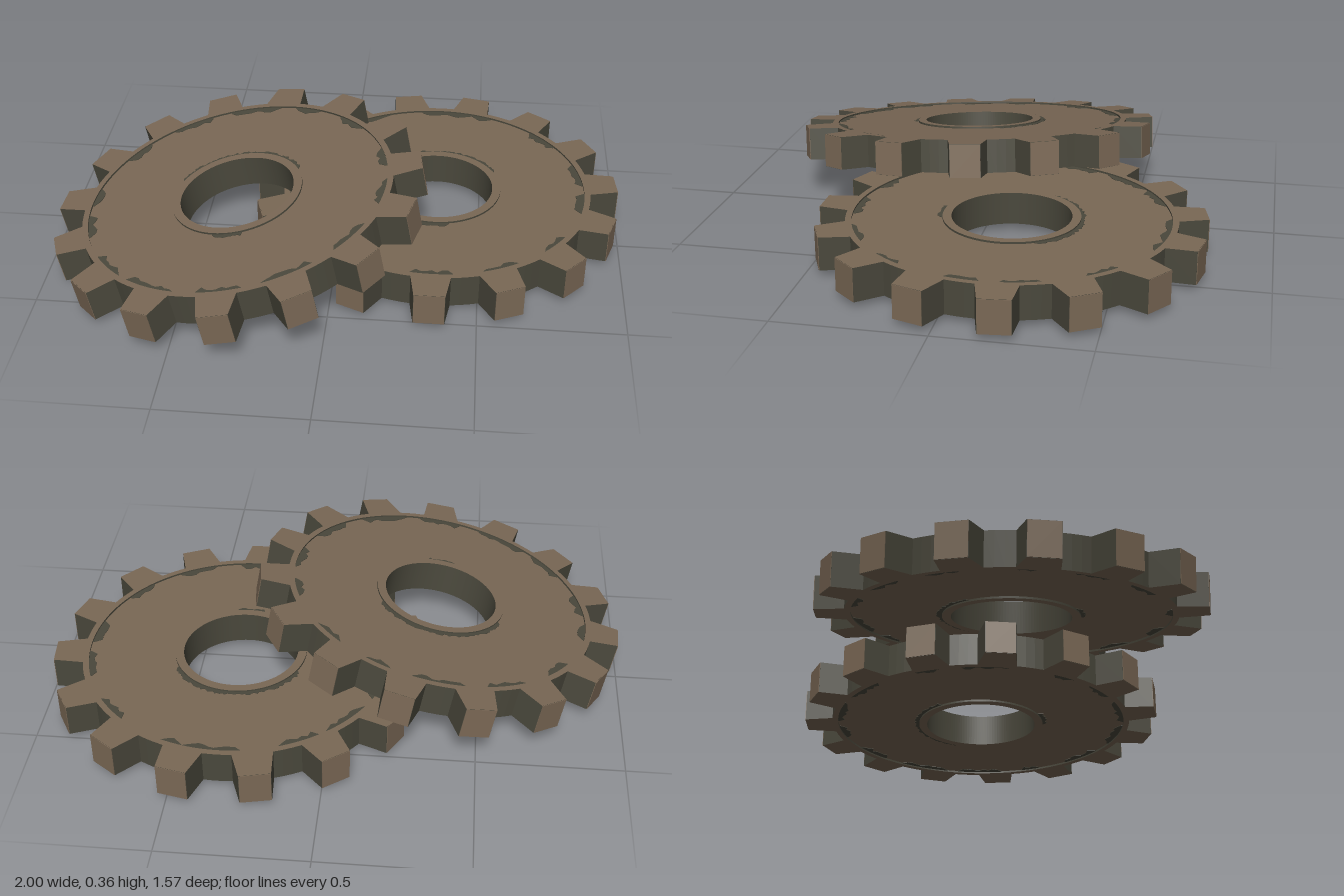
import * as THREE from 'three';

const TEETH = 15, STEP = (Math.PI * 2) / TEETH;
const ROOT = 0.558, TIP = 0.658, HALF = 0.058, FACE = 0.051;
const HOLE = 0.203, HUB = 0.233, RIM = 0.537;

const brown = new THREE.MeshStandardMaterial({ color: 0x7a6855 });
brown.name = 'worn brown';
const olive = new THREE.MeshStandardMaterial({ color: 0x4a483c });
olive.name = 'dark olive';

const polar = (r, a) => new THREE.Vector2(r * Math.cos(a), r * Math.sin(a));

// Extrude a plan shape into a slab lying flat, centred on height y
function slab(name, shape, depth, y, materials) {
  const geo = new THREE.ExtrudeGeometry(shape, { depth, bevelEnabled: false, curveSegments: 64 });
  geo.translate(0, 0, -depth / 2).rotateX(Math.PI / 2).translate(0, y, 0);
  const mesh = new THREE.Mesh(geo, materials);
  mesh.name = name;
  return mesh;
}

function withHole(shape, r) {
  shape.holes.push(new THREE.Path().absarc(0, 0, r, 0, Math.PI * 2, true));
  return shape;
}

function ringShape(inner, outer) {
  return withHole(new THREE.Shape().absarc(0, 0, outer, 0, Math.PI * 2, false), inner);
}

// Outline with tapered teeth; each tooth is centred on phase + k * STEP
function toothedShape(phase) {
  const pts = [];
  const rootAngle = 0.068 / ROOT, tipAngle = 0.053 / TIP;
  for (let k = 0; k < TEETH; k++) {
    const a = phase + k * STEP;
    pts.push(polar(ROOT, a - rootAngle), polar(TIP, a - tipAngle));
    pts.push(polar(TIP, a + tipAngle), polar(ROOT, a + rootAngle));
    for (let i = 1; i < 3; i++) pts.push(polar(ROOT, a + rootAngle + ((STEP - 2 * rootAngle) * i) / 3));
  }
  return withHole(new THREE.Shape(pts), RIM);
}

// Ragged arc of grime hugging one edge of the recessed face
function grimeShape(edge, depth, from, to, rand) {
  const n = Math.max(4, Math.round((to - from) / 0.035));
  const outer = [], ragged = [];
  for (let i = 0; i <= n; i++) {
    const a = from + ((to - from) * i) / n;
    const d = i === 0 || i === n ? 0.15 : 0.45 + 0.55 * rand();
    outer.push(polar(edge, a));
    ragged.unshift(polar(edge + depth * d, a));
  }
  return new THREE.Shape([...outer, ...ragged]);
}

function createGear(name, phase, seed) {
  const gear = new THREE.Group();
  gear.name = name;
  let s = seed;
  const rand = () => (s = (s * 16807) % 2147483647) / 2147483647;

  // Toothed rim, recessed web and raised hub collar
  gear.add(slab('toothedRim', toothedShape(phase), HALF * 2, 0, [brown, olive]));
  gear.add(slab('web', ringShape(HUB - 0.01, RIM + 0.005), FACE * 2, 0, [brown, olive]));
  gear.add(slab('hubCollar', ringShape(HOLE, HUB), HALF * 2, 0, [brown, olive]));

  // Worn plates on the tooth tips
  const r = TIP * Math.cos(0.053 / TIP);
  for (let k = 0; k < TEETH; k++) {
    const a = phase + k * STEP;
    const plate = new THREE.Mesh(new THREE.BoxGeometry(0.004, HALF * 2 - 0.002, 0.104), brown);
    plate.name = 'toothTip';
    plate.position.set(r * Math.cos(a), 0, r * Math.sin(a));
    plate.rotation.y = -a;
    gear.add(plate);
  }

  // Grime patches on both faces, along the rim and around the hub
  for (const side of [1, -1]) {
    const y = side * (FACE + 0.0005);
    for (let k = 0; k < 14; k++) {
      const from = (k + 0.25 * rand()) * (Math.PI / 7);
      const span = 0.14 + 0.24 * rand();
      gear.add(slab('rimGrime', grimeShape(RIM, -0.032, from, from + span, rand), 0.003, y, olive));
    }
    for (const [from, to] of [[-2.7, -0.5], [1.35, 1.8]]) {
      gear.add(slab('hubGrime', grimeShape(HUB, 0.02, from, to, rand), 0.003, y, olive));
    }
  }
  return gear;
}

export function createModel() {
  const model = new THREE.Group();
  model.name = 'gearPair';

  // Gear lying flat
  const flat = createGear('flatGear', Math.PI / 2, 41);
  flat.position.set(0.34, 0.077, -0.13);
  model.add(flat);

  // Gear leaning on the first one
  const leaning = createGear('leaningGear', THREE.MathUtils.degToRad(88.5), 977);
  leaning.position.set(-0.345, 0.178, 0.123);
  const normal = new THREE.Vector3(-0.181, 1, 0.052).normalize();
  leaning.quaternion.setFromUnitVectors(new THREE.Vector3(0, 1, 0), normal);
  model.add(leaning);

  return model;
}
